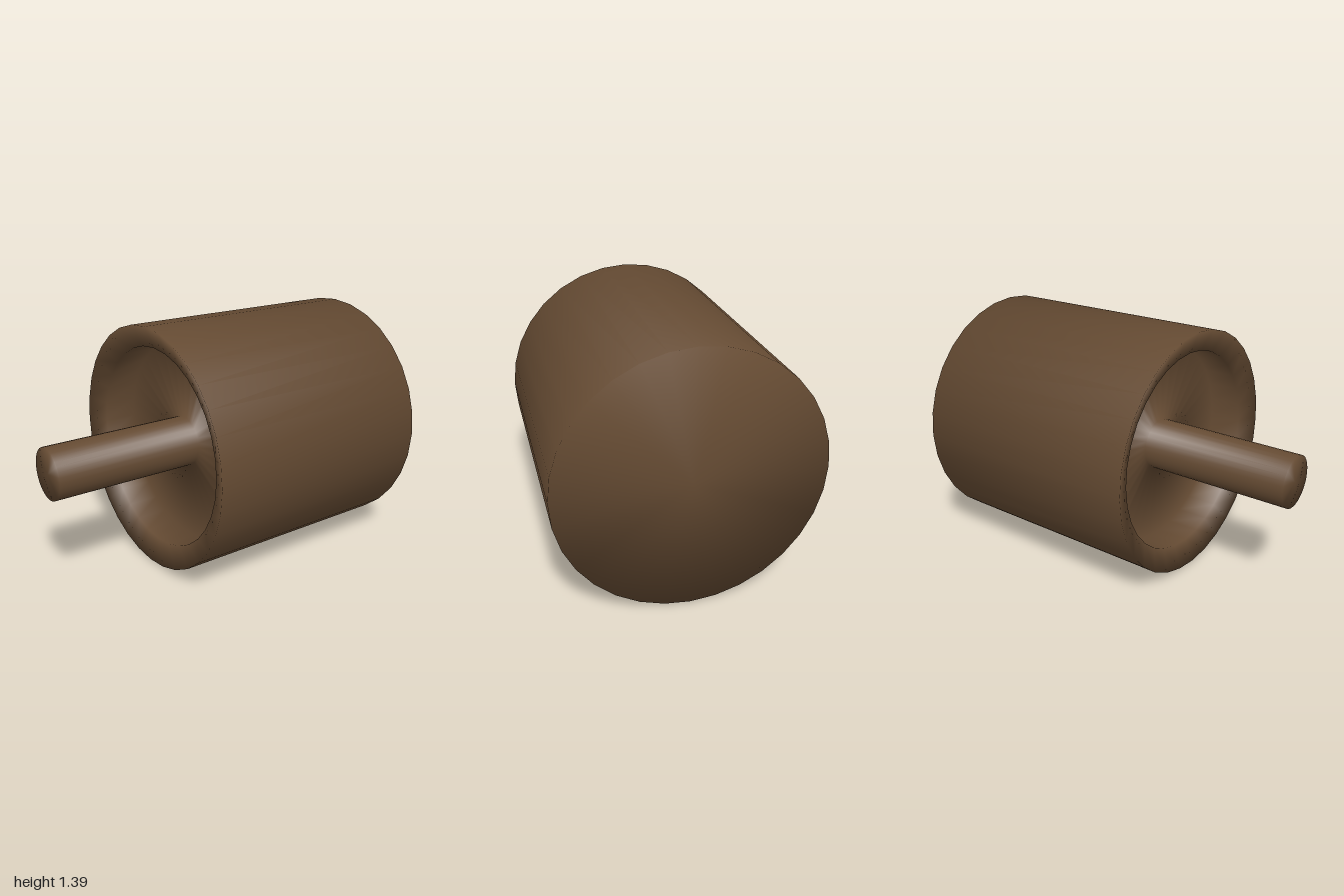
import * as THREE from 'three';

// Round body with a recessed front and a central shaft, turned about the z axis.
export function createModel() {
  const group = new THREE.Group();
  group.name = 'roller';

  const brown = new THREE.MeshStandardMaterial({ color: 0x644a32 });
  brown.name = 'brown';

  const radius = 0.697;
  // [radius, z] from the back centre round to the shaft tip
  const profile = [
    [0, -1],
    [radius, -1],        // back edge
    [radius, 0.395],     // front edge
    [0.573, 0.34],       // lip of the recess
    [0.573, 0.15],       // recess floor, outer edge
    [0.145, 0.15],       // foot of the shaft
    [0.145, 1],          // shaft tip edge
    [0, 1],
  ].map(([r, z]) => new THREE.Vector2(r, z));

  // The lathe averages normals along the profile, giving soft shading over the edges
  const geometry = new THREE.LatheGeometry(profile, 32);
  geometry.rotateX(Math.PI / 2);

  const body = new THREE.Mesh(geometry, brown);
  body.name = 'bodyWithShaft';
  body.position.y = radius;
  group.add(body);

  return group;
}
